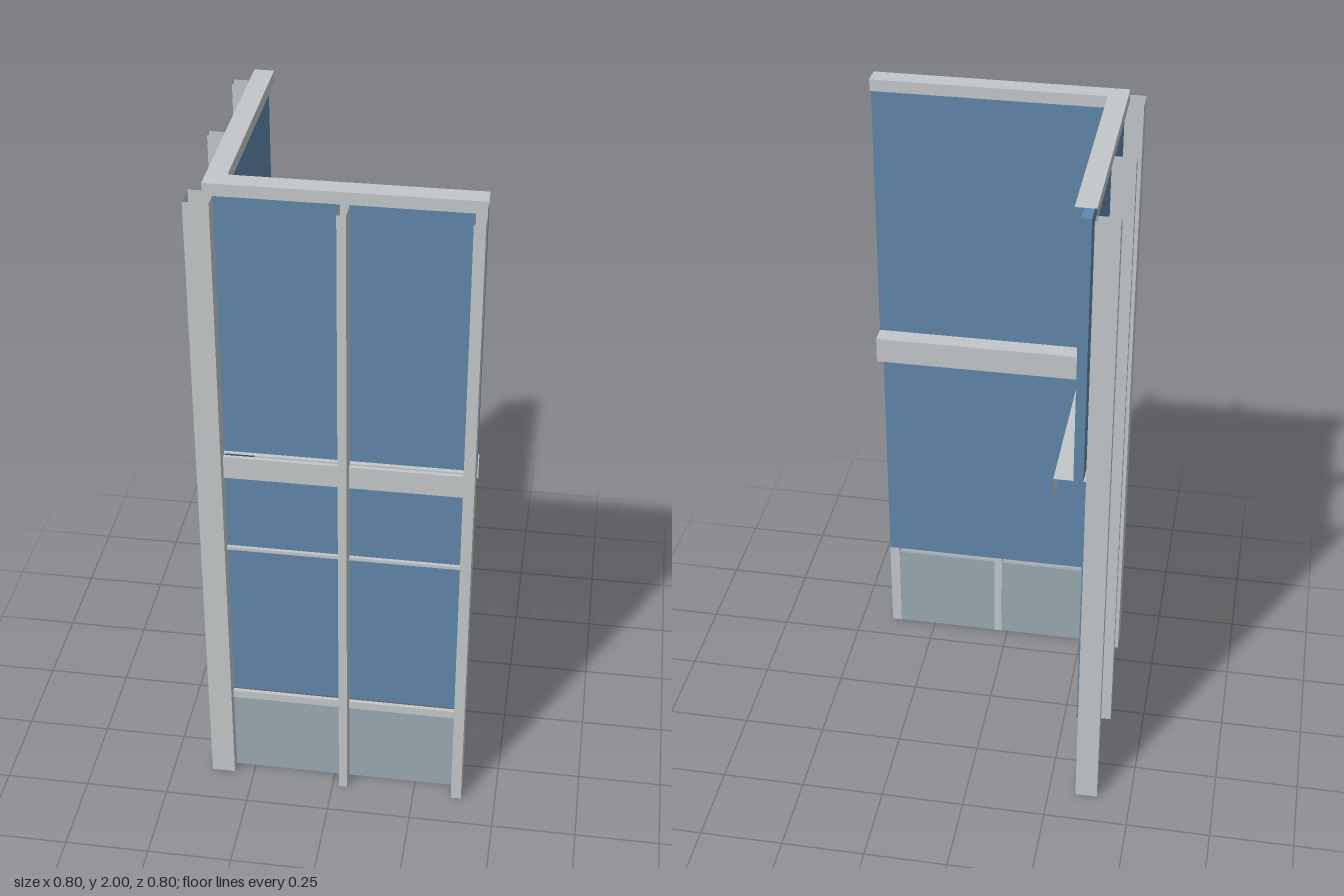
import * as THREE from 'three';

const END = 0.396; // free end of each wing

export function createModel() {
  const group = new THREE.Group();
  group.name = 'cornerCurtainWall';

  const mat = (name, color) => {
    const m = new THREE.MeshStandardMaterial({ color, side: THREE.DoubleSide });
    m.name = name;
    return m;
  };
  const frame = mat('aluminium grey', 0xc3c7c9);
  const glass = mat('glass blue', 0x5f86aa);
  const spandrel = mat('spandrel grey', 0x9aa9b2);

  const add = (name, geometry, material, parent = group) => {
    const mesh = new THREE.Mesh(geometry, material);
    mesh.name = name;
    parent.add(mesh);
  };

  // L-shaped plan between two distances from the inside corner axes
  const lShape = (d0, d1) => new THREE.Shape([
    [END, d0], [END, d1], [-d1, d1], [-d1, -END], [-d0, -END], [-d0, d0],
  ].map(([x, z]) => new THREE.Vector2(x, -z)));

  // Solid L-shaped panel
  const panel = (d0, d1, y0, y1) =>
    new THREE.ExtrudeGeometry(lShape(d0, d1), { depth: y1 - y0, bevelEnabled: false })
      .rotateX(-Math.PI / 2).translate(0, y0, 0);

  // Horizontal L-shaped sheet
  const sheet = (d0, d1, y) =>
    new THREE.ShapeGeometry(lShape(d0, d1)).rotateX(-Math.PI / 2).translate(0, y, 0);

  // Vertical sheet following plan points [x, z], open at top and bottom
  const wall = (pts, y0, y1) => {
    const pos = [];
    for (let i = 0; i < pts.length - 1; i++) {
      const [ax, az] = pts[i], [bx, bz] = pts[i + 1];
      pos.push(ax, y0, az, bx, y0, bz, bx, y1, bz, ax, y0, az, bx, y1, bz, ax, y1, az);
    }
    const g = new THREE.BufferGeometry();
    g.setAttribute('position', new THREE.Float32BufferAttribute(pos, 3));
    g.computeVertexNormals();
    return g;
  };
  const lWall = (d, y0, y1) => wall([[-d, -END], [-d, d], [END, d]], y0, y1);

  // Folded channel rails: faces at given distances, with level sheets
  const channel = (name, faces, d0, d1, y0, y1, levels) => {
    const rail = new THREE.Group();
    rail.name = name;
    faces.forEach((d) => add(name + 'Face', lWall(d, y0, y1), frame, rail));
    levels.forEach((y) => add(name + 'Sheet', sheet(d0, d1, y), frame, rail));
    group.add(rail);
  };

  // Glazing and base panels
  add('upperGlass', panel(0.297, 0.325, 1.17, 1.97), glass);
  add('lowerGlass', panel(0.328, 0.338, 0.31, 1.092), glass);
  add('spandrelPanel', panel(0.334, 0.343, 0, 0.29), spandrel);

  // Horizontal rails
  channel('topCap', [0.28, 0.337], 0.28, 0.337, 1.965, 2, [2]);
  channel('innerSill', [0.242], 0.242, 0.338, 1.09, 1.17, [1.17]);
  channel('middleRail', [0.35], 0.338, 0.35, 1.095, 1.165, [1.095, 1.165]);
  channel('lowerRail', [0.35], 0.338, 0.35, 0.28, 0.306, [0.28, 0.306]);
  add('glazingBar', panel(0.336, 0.348, 0.841, 0.851), frame);

  // Hollow mullions, mirrored across the corner diagonal
  for (const [name, x0, x1] of [['middleMullion', 0.02, 0.045], ['endMullion', 0.366, 0.397]]) {
    const pts = [[x0, 0.332], [x0, 0.398], [x1, 0.398], [x1, 0.332], [x0, 0.332]];
    add(name + 'Front', wall(pts, 0, 1.965), frame);
    add(name + 'Side', wall(pts.map(([x, z]) => [-z, -x]), 0, 1.965), frame);
  }

  // Hollow corner column
  add('cornerColumn', wall([
    [-0.31, 0.332], [-0.31, 0.38], [-0.38, 0.38], [-0.38, 0.31],
    [-0.332, 0.31], [-0.332, 0.332], [-0.31, 0.332],
  ], 0, 1.965), frame);

  return group;
}
